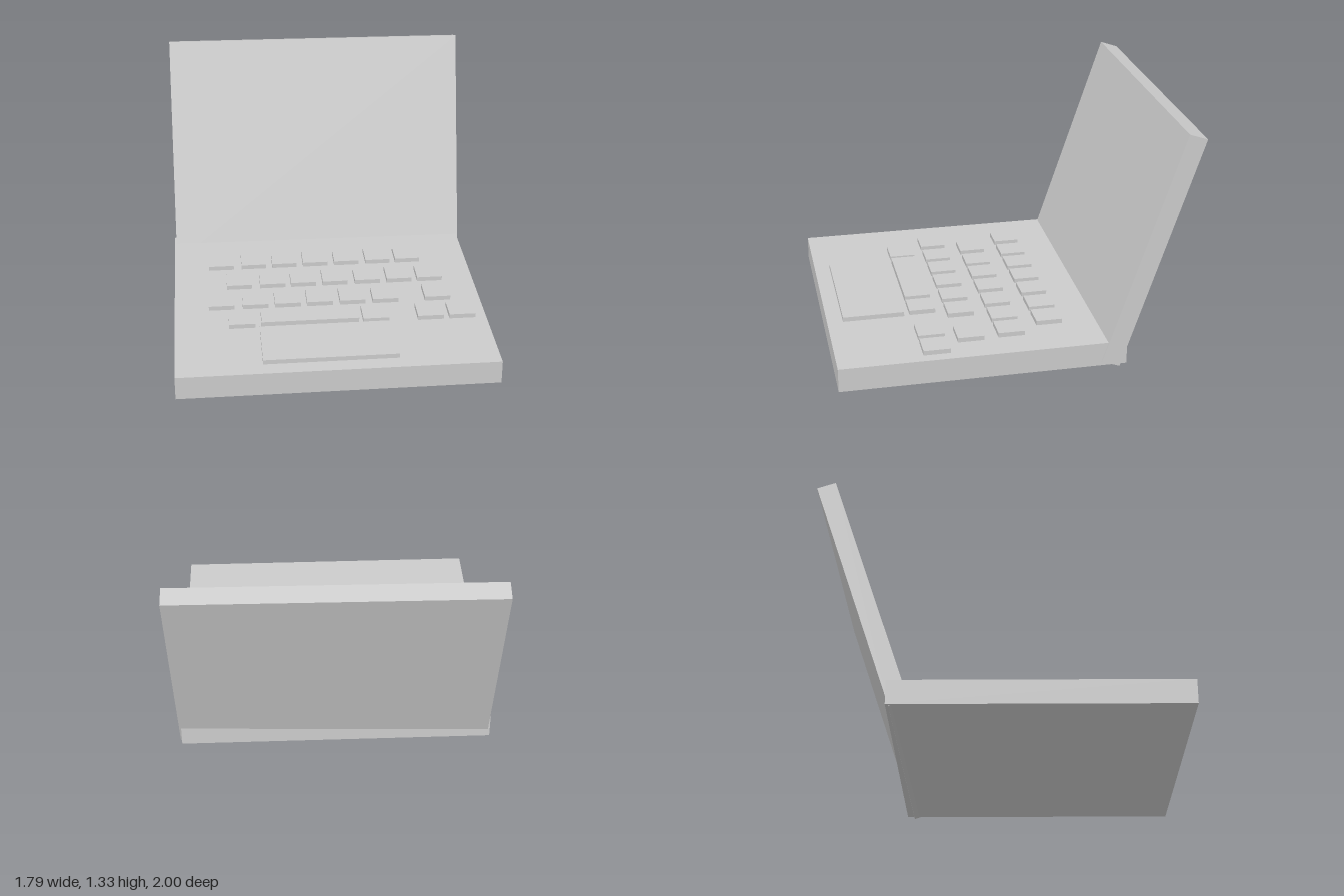
import * as THREE from 'three';

export function createModel() {
  const group = new THREE.Group();
  const material = new THREE.MeshStandardMaterial({ color: 0xcccccc, flatShading: true });

  const addBox = (name, [w, h, d], [x, y, z], parent = group) => {
    const mesh = new THREE.Mesh(new THREE.BoxGeometry(w, h, d), material);
    mesh.name = name;
    mesh.position.set(x, y, z);
    parent.add(mesh);
    return mesh;
  };

  // Keyboard base
  const deck = 0.145;
  addBox('base', [1.765, 0.134, 1.585], [-0.0125, deck - 0.067, 0.2075]);

  // Screen lid, leaning back and set slightly askew
  const lid = addBox('screenLid', [1.765, 1.362, 0.106], [0.002, 0.667, -0.721]);
  lid.rotation.set(-0.322, -0.0125, -0.0073);

  // Square keys: one row per z, with the x of each key
  const keys = new THREE.Group();
  keys.name = 'keys';
  group.add(keys);
  const rows = [
    [-0.217, [-0.615, -0.42, -0.235, -0.049, 0.14, 0.331, 0.512]],
    [0.021, [-0.515, -0.32, -0.138, 0.05, 0.241, 0.431, 0.612]],
    [0.25, [-0.626, -0.431, -0.246, -0.061, 0.13, 0.32, 0.624]],
    [0.458, [-0.516, 0.241, 0.553, 0.733]],
  ];
  const rise = 0.026;
  for (const [z, xs] of rows) {
    for (const x of xs) addBox('key', [0.148, rise, 0.148], [x, deck + rise / 2, z], keys);
  }

  // Long key and touchpad
  addBox('spaceBar', [0.55, 0.033, 0.148], [-0.132, deck + 0.0165, 0.458], keys);
  addBox('touchpad', [0.743, rise, 0.347], [-0.0485, deck + rise / 2, 0.737]);

  return group;
}
